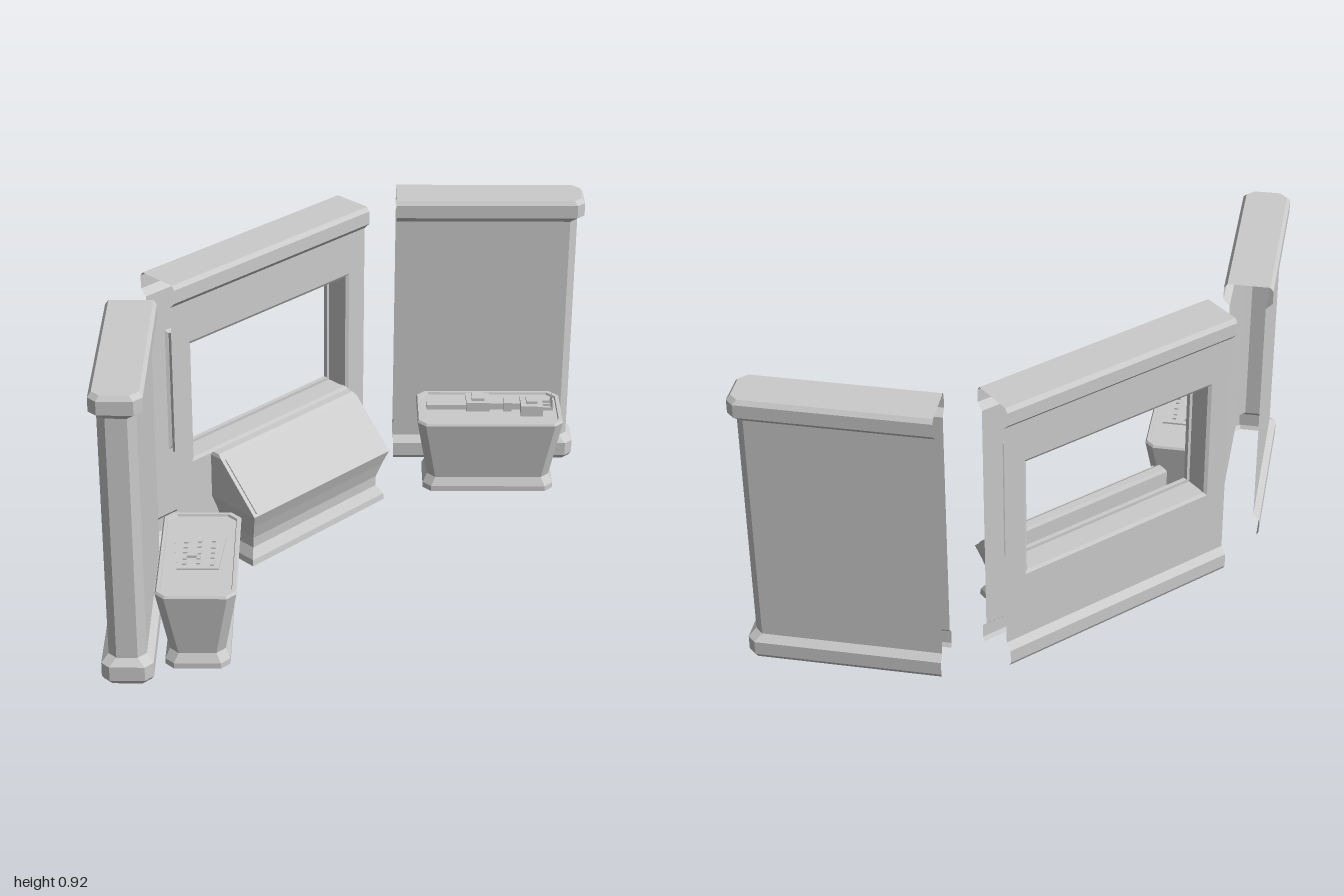
import * as THREE from 'three';

const grey = new THREE.MeshStandardMaterial({ color: 0xcccccc, flatShading: true, side: THREE.DoubleSide });
const H = 0.074, INSET = 0.02;

function add(parent, name, geometry, x = 0, y = 0, z = 0) {
  const mesh = new THREE.Mesh(geometry, grey);
  mesh.name = name;
  mesh.position.set(x, y, z);
  parent.add(mesh);
  return mesh;
}

// Skins a stack of rings of [x, y, z] points; optionally closes each ring and caps the last
function loft(rings, closed, cap) {
  const pos = [];
  const tri = (a, b, c) => pos.push(...a, ...b, ...c);
  for (let i = 0; i < rings.length - 1; i++) {
    const r = rings[i], s = rings[i + 1], n = r.length;
    for (let j = 0; j < (closed ? n : n - 1); j++) {
      const k = (j + 1) % n;
      tri(r[j], r[k], s[k]);
      tri(r[j], s[k], s[j]);
    }
  }
  if (cap) {
    const r = rings[rings.length - 1];
    for (let j = 1; j < r.length - 1; j++) tri(r[0], r[j], r[j + 1]);
  }
  const g = new THREE.BufferGeometry();
  g.setAttribute('position', new THREE.Float32BufferAttribute(pos, 3));
  g.computeVertexNormals();
  return g;
}

// Rectangle with cut corners at height y
function cutRect(hx, hz, c, y) {
  return [[-hx + c, hz], [hx - c, hz], [hx, hz - c], [hx, -hz + c],
    [hx - c, -hz], [-hx + c, -hz], [-hx, -hz + c], [-hx, hz - c]].map(([x, z]) => [x, y, z]);
}

// [height, inset] of the wall from plinth to cornice
const wallProfile = [[0, 0.007], [0.013, 0], [0.058, 0], [0.078, INSET],
  [0.845, INSET], [0.865, 0], [0.907, 0], [0.92, 0.01]];

function sideWall() {
  const L = 0.59, c = 0.024;
  return loft(wallProfile.map(([y, d]) => {
    const h = H - d, l = L - d;
    return [[0, y, h], [l - c, y, h], [l, y, h - c], [l, y, -h + c], [l - c, y, -h], [0, y, -h]];
  }), false, true);
}

// Tapered stand with a flared foot and a shallow lip
function pedestal() {
  const levels = [[0, 0.022], [0.018, 0.022], [0.045, 0.035], [0.25, 0], [0.257, 0.004], [0.257, 0.013], [0.25, 0.015]];
  return loft(levels.map(([y, d]) => cutRect(0.231 - d, 0.115 - d, 0.026, y)), true, true);
}

// Small mechanical display piece lying on a pedestal
function displayPiece() {
  const g = new THREE.Group();
  g.name = 'displayPiece';
  const box = (name, w, h, d, x, z, y = 0.25) => add(g, name, new THREE.BoxGeometry(w, h, d), x, y + h / 2, z);
  box('tailPlate', 0.13, 0.017, 0.05, -0.135, -0.022);
  box('body', 0.075, 0.03, 0.07, -0.035, -0.02);
  box('bodyTop', 0.04, 0.014, 0.04, -0.035, -0.02, 0.275);
  box('neck', 0.11, 0.022, 0.022, 0.05, -0.008);
  box('neckJoint', 0.025, 0.03, 0.04, 0.06, -0.005);
  box('head', 0.07, 0.035, 0.075, 0.135, 0.01);
  box('headTop', 0.035, 0.014, 0.04, 0.135, 0.01, 0.28);
  for (let i = -1; i <= 1; i++) {
    box('finger', 0.035, 0.012, 0.008, 0.185, 0.01 + i * 0.022, 0.265);
    add(g, 'fingerTip', new THREE.ConeGeometry(0.006, 0.03, 5), 0.2, 0.29, 0.01 + i * 0.022);
  }
  return g;
}

// Low control plate with small blocks
function controlPlate() {
  const g = new THREE.Group();
  g.name = 'controlPlate';
  const plate = new THREE.Shape([[-0.09, -0.075], [0.08, -0.06], [0.08, 0.06], [-0.09, 0.075]].map(p => new THREE.Vector2(...p)));
  add(g, 'plate', new THREE.ExtrudeGeometry(plate, { depth: 0.006, bevelEnabled: false }), 0, 0.25, 0).rotation.x = -Math.PI / 2;
  for (let i = 0; i < 5; i++) {
    for (let j = 0; j < 3; j++) {
      const w = 0.01 + ((i * 2 + j) % 3) * 0.006;
      add(g, 'button', new THREE.BoxGeometry(w, 0.005, 0.012), -0.065 + i * 0.03, 0.2585, -0.04 + j * 0.04);
    }
  }
  add(g, 'dial', new THREE.BoxGeometry(0.03, 0.008, 0.03), 0.01, 0.26, 0.018);
  return g;
}

// Middle wall, open at both ends, with a framed window
function windowWall() {
  const g = new THREE.Group();
  g.name = 'windowWall';
  g.position.x = -0.28;
  const W = 0.405, f = H - INSET;
  const strip = pts => loft([-W, W].map(z => pts.map(([x, y]) => [x, y, z])), false, false);

  const half = wallProfile.slice(4).map(([y, d]) => [H - d, y]);
  const mirrored = half.map(([x, y]) => [-x, y]).reverse();
  add(g, 'cornice', strip([...half, ...mirrored]));

  const foot = wallProfile.slice(0, 4).map(([y, d]) => [H - d, y]);
  add(g, 'frontPlinth', strip(foot));
  add(g, 'backPlinth', strip(foot.map(([x, y]) => [-x, y]).reverse()));

  const rect = (w, y0, y1) => [[-w, y0], [w, y0], [w, y1], [-w, y1]];
  const toVec = pts => pts.map(p => new THREE.Vector2(...p));
  const panel = new THREE.Shape(toVec(rect(W, 0.078, 0.845)));
  panel.holes.push(new THREE.Path(toVec(rect(0.337, 0.303, 0.71)).reverse()));
  for (const s of [1, -1]) {
    add(g, s > 0 ? 'frontPanel' : 'backPanel', new THREE.ShapeGeometry(panel), s * f).rotation.y = s * Math.PI / 2;
  }

  // Stepped reveal around the opening: [depth, widening]
  const steps = [[-f, 0.01], [-f + 0.006, 0], [-f + 0.02, 0], [-f + 0.02, 0.01],
    [f - 0.02, 0.01], [f - 0.02, 0], [f - 0.006, 0], [f, 0.01]];
  add(g, 'windowFrame', loft(steps.map(([x, e]) =>
    rect(0.327 + e, 0.313 - e, 0.70 + e).map(([z, y]) => [x, y, z])), true, false));
  return g;
}

// Long sloped desk in front of the window
function desk() {
  const g = new THREE.Group();
  g.name = 'desk';
  const ring = (y, x0, x1, z) => [[x0, y, z], [x1, y, z], [x1, y, -z], [x0, y, -z]];
  add(g, 'deskBase', loft([ring(0, -0.18, -0.015, 0.288), ring(0.02, -0.18, -0.017, 0.286),
    ring(0.05, -0.172, -0.035, 0.268), ring(0.085, -0.174, -0.033, 0.268),
    ring(0.135, -0.18, -0.017, 0.28), ring(0.18, -0.19, 0, 0.293)], true, false));
  add(g, 'deskTop', loft([ring(0.18, -0.19, 0, 0.293), ring(0.325, -0.19, -0.145, 0.293),
    ring(0.335, -0.185, -0.16, 0.288)], true, true));
  add(g, 'deskPanel', new THREE.BoxGeometry(0.19, 0.006, 0.56), -0.0725, 0.2535, 0).rotation.z = -Math.PI / 4;
  return g;
}

export function createModel() {
  const model = new THREE.Group();
  model.name = 'exhibitionBooth';
  model.add(windowWall(), desk());

  // Angled side walls, each with a pedestal on the inner side
  for (const s of [-1, 1]) {
    const side = s > 0 ? 'left' : 'right';
    const wall = add(model, side + 'Wall', sideWall(), -0.228, 0, s * 0.55);
    wall.rotation.y = -s * Math.PI / 4;

    const stand = new THREE.Group();
    stand.name = side + 'Stand';
    stand.position.set(0.122, 0, s * 0.626);
    stand.rotation.y = -s * Math.PI / 4;
    add(stand, 'pedestal', pedestal());
    stand.add(s > 0 ? controlPlate() : displayPiece());
    model.add(stand);
  }
  return model;
}
